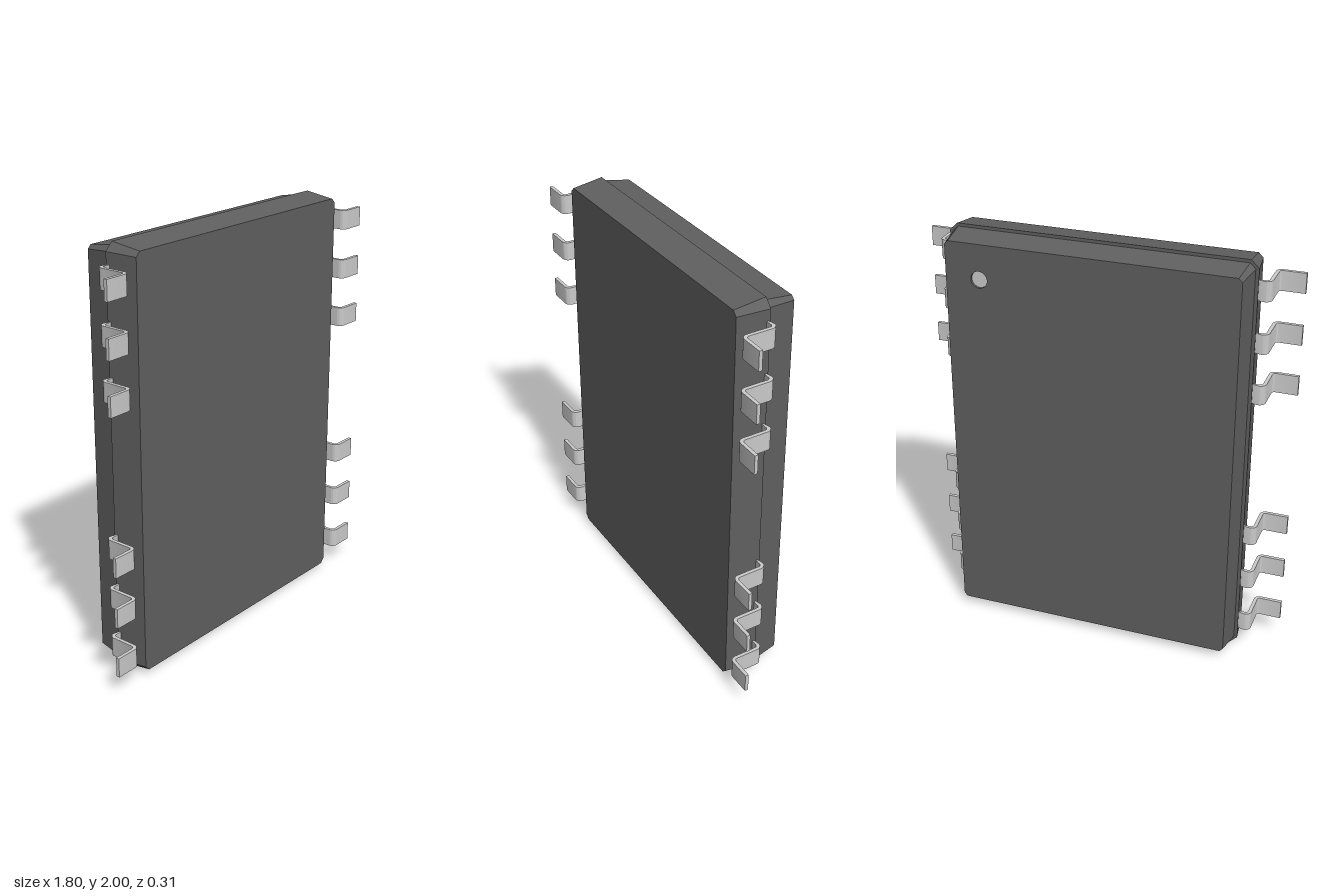
import * as THREE from 'three';
import { toCreasedNormals } from 'three/addons/utils/BufferGeometryUtils.js';

const bodyMat = new THREE.MeshStandardMaterial({ color: 0x606060, flatShading: true });
const metalMat = new THREE.MeshStandardMaterial({ color: 0xcccccc });
const SEAM = -0.017;

// Rectangle with cut corners, counter-clockwise
function outline(w, h, c) {
  return [[w, -h + c], [w, h - c], [w - c, h], [-w + c, h], [-w, h - c], [-w, -h + c], [-w + c, -h], [w - c, -h]]
    .map(([x, y]) => new THREE.Vector2(x, y));
}

function add(parent, name, geometry, material) {
  const mesh = new THREE.Mesh(geometry, material);
  mesh.name = name;
  parent.add(mesh);
  return mesh;
}

// Tapered moulding from z = 0 to a smaller face at z = depth
function moulding(name, base, face, depth, hole) {
  const group = new THREE.Group();
  group.name = name;
  const pos = [];
  base.forEach((a, i) => {
    const j = (i + 1) % base.length, b = base[j], c = face[j], d = face[i];
    pos.push(a.x, a.y, 0, b.x, b.y, 0, c.x, c.y, depth, a.x, a.y, 0, c.x, c.y, depth, d.x, d.y, depth);
  });
  const sides = new THREE.BufferGeometry();
  sides.setAttribute('position', new THREE.Float32BufferAttribute(pos, 3));
  sides.computeVertexNormals();
  add(group, name + 'Sides', sides, bodyMat);
  const shape = new THREE.Shape(face);
  if (hole) shape.holes.push(hole);
  add(group, name + 'Face', new THREE.ShapeGeometry(shape, 16).translate(0, 0, depth), bodyMat);
  return group;
}

// Gull-wing profile in x and z, extruded along y
function leadGeometry(width) {
  const t = 0.017, ri = 0.013, ro = ri + t, top = SEAM, foot = 0.155, x = 0.783;
  const c1 = [x - ro, top + ro], c2 = [x + ri, foot - ro], q = Math.PI / 2;
  const s = new THREE.Shape();
  s.moveTo(0.69, top);
  s.absarc(...c1, ro, -q, 0, false);
  s.absarc(...c2, ri, Math.PI, q, true);
  s.lineTo(0.9, foot - t);
  s.lineTo(0.9, foot);
  s.absarc(...c2, ro, q, Math.PI, false);
  s.absarc(...c1, ri, 0, -q, true);
  s.lineTo(0.69, top + t);
  s.closePath();
  const g = new THREE.ExtrudeGeometry(s, { depth: width, bevelEnabled: false, curveSegments: 8 });
  g.translate(0, 0, -width / 2).rotateX(Math.PI / 2);
  return toCreasedNormals(g, 0.6);
}

export function createModel() {
  const model = new THREE.Group();
  model.name = 'chipPackage';

  // Body: two tapered halves meeting at a stepped seam
  const body = new THREE.Group();
  body.name = 'body';
  body.position.set(0, 1, SEAM);
  model.add(body);

  const seamOutline = outline(0.725, 1, 0.037);
  body.add(moulding('frontHalf', seamOutline, outline(0.705, 0.98, 0.022), 0.135 - SEAM));
  add(body, 'seamLedge', new THREE.ShapeGeometry(new THREE.Shape(seamOutline)).rotateY(Math.PI), bodyMat);

  const r = 0.04, dx = -0.525, dy = 0.795, depth = 0.155 + SEAM, recess = 0.012;
  const hole = new THREE.Path().absarc(dx, dy, r, 0, Math.PI * 2, true);
  const back = moulding('backHalf', outline(0.709, 0.985, 0.025), outline(0.689, 0.963, 0.017), depth, hole);
  back.rotation.y = Math.PI;
  body.add(back);

  // Orientation dimple: pale floor in a shallow recess
  add(back, 'dimpleFloor', new THREE.CircleGeometry(r, 32).translate(dx, dy, depth - recess), metalMat);
  const wallMat = new THREE.MeshStandardMaterial({ color: 0x606060, side: THREE.BackSide });
  const wall = new THREE.CylinderGeometry(r, r, recess, 32, 1, true).rotateX(Math.PI / 2);
  add(back, 'dimpleWall', wall.translate(dx, dy, depth - recess / 2), wallMat);

  // Leads: three at each end of both long sides
  const lead = leadGeometry(0.094);
  const pitch = 0.2465;
  for (const side of ['left', 'right']) {
    for (const slot of [-3.5, -2.5, -1.5, 1.5, 2.5, 3.5]) {
      const mesh = add(model, side + 'Lead', lead, metalMat);
      mesh.position.y = 1 + slot * pitch;
      if (side === 'right') mesh.rotation.z = Math.PI;
    }
  }
  return model;
}
